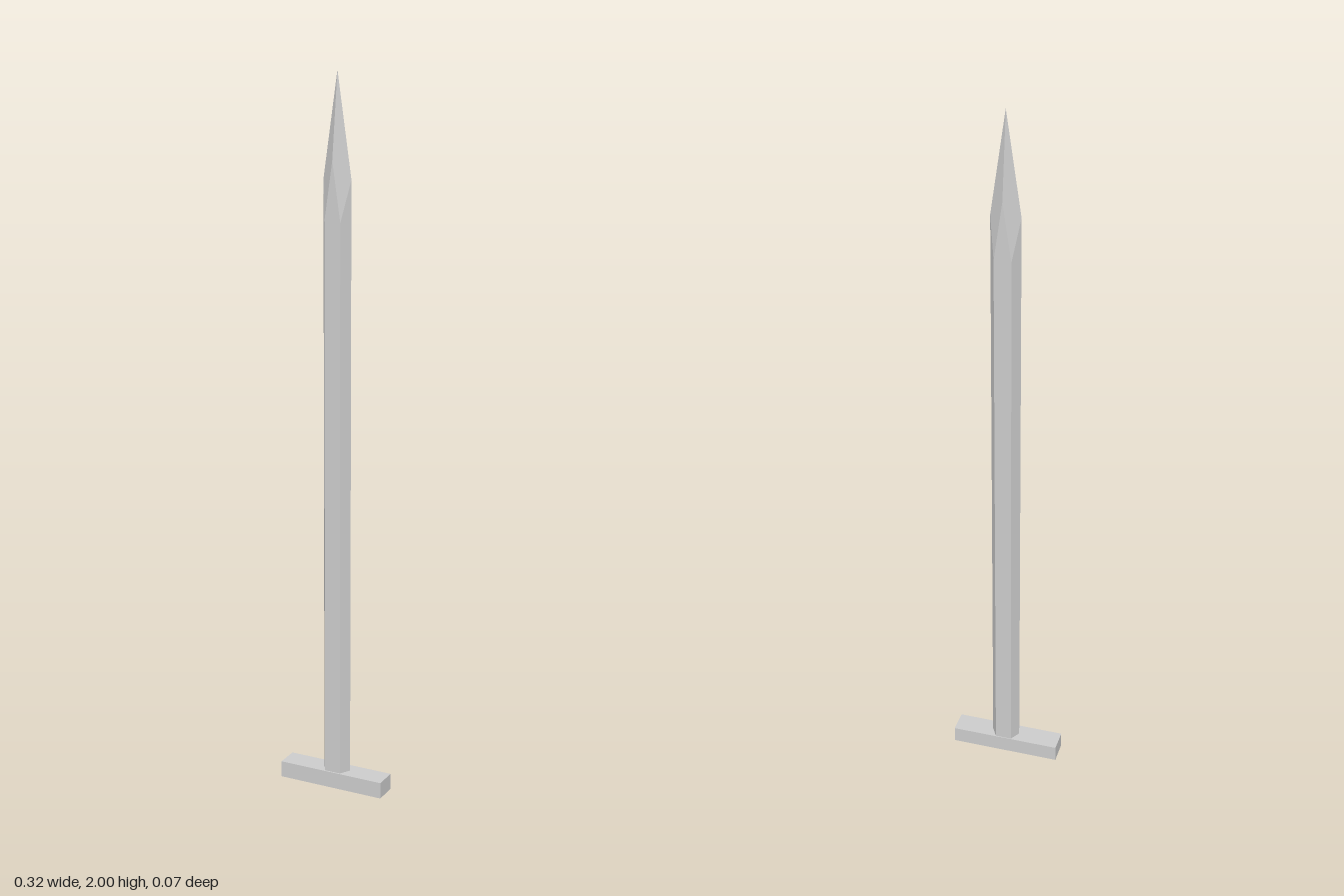
import * as THREE from 'three';

const TIP = 2, BASE = 0.02;
const HALF_W = 0.041, FLAT = 0.0235, HALF_D = 0.03; // hexagonal section
const DROP_X = 0.28, DROP_Z = 0.23; // shoulder distances below the tip

// Hexagonal bar whose top is cut by a four-sided point
function bladeGeometry() {
  // section, counter-clockwise seen from above, with a midpoint on each flat
  const section = [
    [HALF_W, 0], [FLAT, -HALF_D], [0, -HALF_D], [-FLAT, -HALF_D],
    [-HALF_W, 0], [-FLAT, HALF_D], [0, HALF_D], [FLAT, HALF_D],
  ];
  const shoulder = (x, z) =>
    TIP - DROP_X * Math.abs(x) / HALF_W - DROP_Z * Math.abs(z) / HALF_D;
  const positions = [];
  section.forEach(([x, z], i) => {
    const [u, w] = section[(i + 1) % section.length];
    const a = [x, BASE, z], b = [u, BASE, w];
    const c = [u, shoulder(u, w), w], d = [x, shoulder(x, z), z];
    positions.push(...a, ...b, ...c, ...a, ...c, ...d); // side wall
    positions.push(...d, ...c, 0, TIP, 0); // point facet
    positions.push(...b, ...a, 0, BASE, 0); // bottom cap
  });
  const geometry = new THREE.BufferGeometry();
  geometry.setAttribute('position', new THREE.Float32BufferAttribute(positions, 3));
  geometry.computeVertexNormals();
  return geometry;
}

export function createModel() {
  const group = new THREE.Group();
  const material = new THREE.MeshStandardMaterial({ color: 0xcccccc, flatShading: true });

  // Flat crossbar at the foot
  const guard = new THREE.Mesh(new THREE.BoxGeometry(0.316, 0.047, 0.067), material);
  guard.name = 'crossguard';
  guard.position.y = 0.0235;

  // Blade, set slightly off centre
  const blade = new THREE.Mesh(bladeGeometry(), material);
  blade.name = 'blade';
  blade.position.set(0.005, 0, -0.001);

  group.add(guard, blade);
  return group;
}
